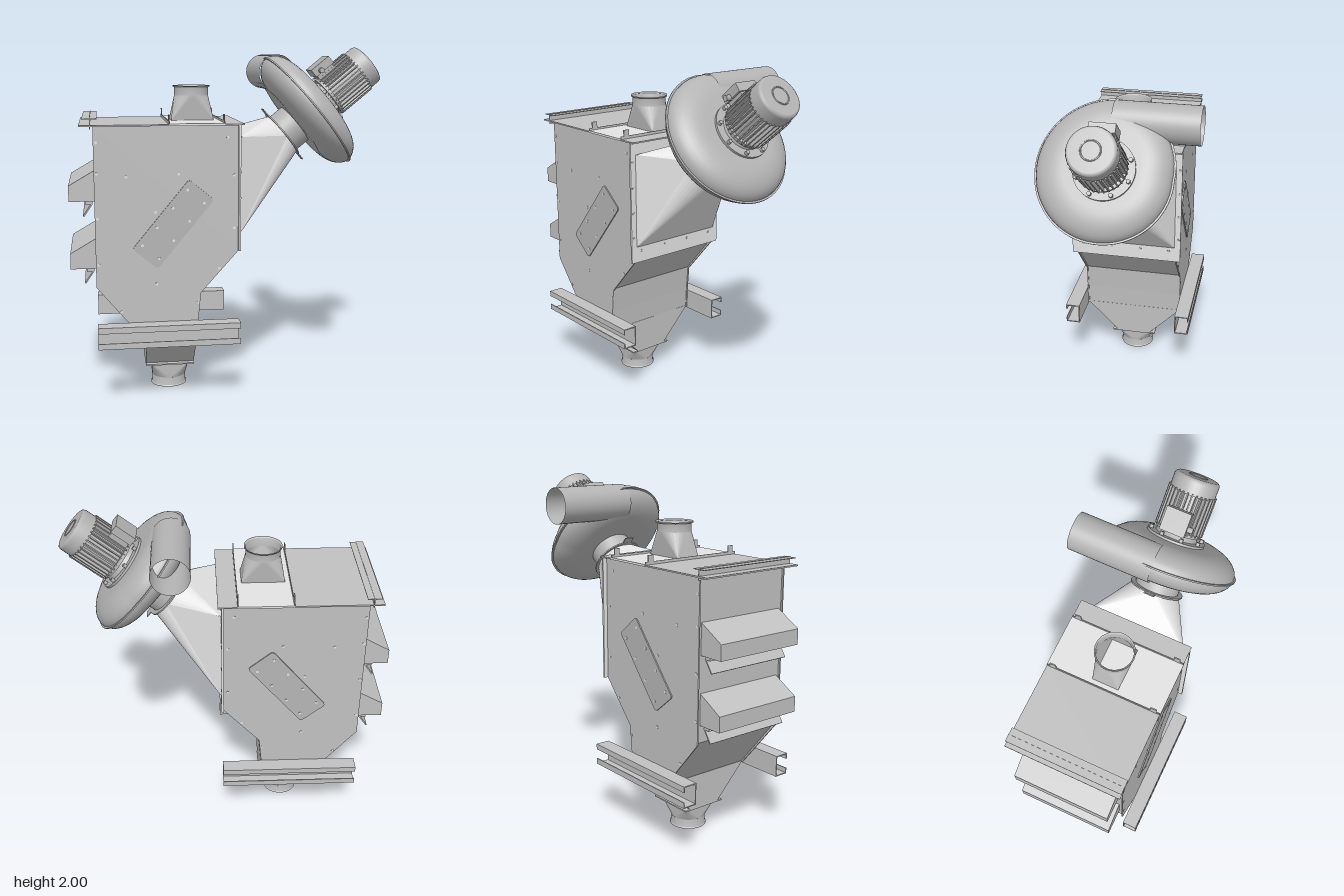
import * as THREE from 'three';

const mat = (name, color) => {
  const m = new THREE.MeshStandardMaterial({ color, side: THREE.DoubleSide });
  m.name = name;
  return m;
};

export function createModel() {
  const root = new THREE.Group();
  root.name = 'dustCollector';
  const steel = mat('sheetSteel', 0xc0c0c0);
  const light = mat('lightSteel', 0xe3e3e3);
  const cast = mat('castGrey', 0xb4b4b4);
  const CZ = 0.03; // housing centre line in z

  const add = (parent, name, geo, m, x = 0, y = 0, z = 0) => {
    const mesh = new THREE.Mesh(geo, m);
    mesh.name = name;
    mesh.position.set(x, y, z);
    parent.add(mesh);
    return mesh;
  };
  const box = (parent, name, m, w, h, d, x, y, z) => add(parent, name, new THREE.BoxGeometry(w, h, d), m, x, y, z);
  const prism = (pts, depth) => new THREE.ExtrudeGeometry(
    new THREE.Shape(pts.map(p => new THREE.Vector2(p[0], p[1]))), { depth, bevelEnabled: false }).translate(0, 0, -depth / 2);
  const lathe = pts => new THREE.LatheGeometry(pts.map(p => new THREE.Vector2(p[0], p[1])), 40);
  const V = (x, y, z) => new THREE.Vector3(x, y, z);

  // Sheet-metal transition from four corners to a circle in the plane of a and b
  const squareToRound = (corners, c, a, b, r) => {
    const n = 8, pts = [];
    const arc = i => {
      const t = i / n * Math.PI / 2;
      return c.clone().addScaledVector(a, r * Math.cos(t)).addScaledVector(b, r * Math.sin(t));
    };
    corners.forEach((p, k) => {
      for (let i = k * n; i < (k + 1) * n; i++) pts.push(p, arc(i + 1), arc(i));
      pts.push(p, corners[(k + 1) % 4], arc((k + 1) * n));
    });
    const g = new THREE.BufferGeometry().setFromPoints(pts);
    g.computeVertexNormals();
    return g;
  };

  // Housing: core with two slightly larger side sheets
  const outline = [[-0.775, 1.58], [-0.775, 0.68], [-0.605, 0.475], [-0.5, 0.35],
    [-0.212, 0.35], [-0.205, 0.475], [-0.19, 0.63], [0.025, 0.87], [0.025, 1.58]];
  const inner = outline.map(([x, y]) => [-0.36 + (x + 0.36) * 0.975, y > 1.5 ? y : y + 0.008]);
  add(root, 'housing', prism(inner, 0.6), steel, 0, 0, CZ);
  for (const s of [-1, 1]) add(root, 'sideSheet', prism(outline, 0.008), steel, 0, 0, CZ + s * 0.301);

  // Hopper trough, outlet flange and spigot
  const trough = prism([[-0.303, 0.36], [-0.105, 0.155], [0.105, 0.155], [0.303, 0.36]], 0.285);
  add(root, 'hopperTrough', trough.rotateY(Math.PI / 2), steel, -0.357, 0, CZ);
  box(root, 'outletFlange', steel, 0.285, 0.008, 0.28, -0.357, 0.153, CZ);
  const sq = (x, y, z, hx, hz, s) => [[1, 1], [-1, 1], [-1, -1], [1, -1]].map(([i, j]) => V(x + i * hx, y, z + s * j * hz));
  add(root, 'outletTransition', squareToRound(sq(-0.357, 0.15, CZ, 0.108, 0.108, 1),
    V(-0.357, 0.055, CZ), V(1, 0, 0), V(0, 0, 1), 0.1), steel);
  add(root, 'outletSpigot', lathe([[0.106, 0], [0.106, 0.008], [0.1, 0.008], [0.1, 0.055]]), steel, -0.357, 0, CZ);

  // Lipped support channels opening outward on both sides
  for (const s of [-1, 1]) {
    const rail = new THREE.Group();
    rail.name = 'supportChannel';
    box(rail, 'web', steel, 0.8, 0.125, 0.006, 0, 0, 0);
    for (const t of [-1, 1]) {
      box(rail, 'channelFlange', steel, 0.8, 0.006, 0.08, 0, t * 0.0595, s * 0.04);
      box(rail, 'channelLip', steel, 0.8, 0.034, 0.006, 0, t * 0.0455, s * 0.08);
    }
    rail.position.set(-0.373, 0.4075, CZ + s * 0.308);
    root.add(rail);
  }

  // Roof sheets, cover panel with ears, and edge channel
  box(root, 'roofSheet', steel, 0.49, 0.008, 0.655, -0.605, 1.582, CZ);
  box(root, 'coverPanel', light, 0.305, 0.012, 0.66, -0.2075, 1.584, CZ);
  box(root, 'roofStrip', steel, 0.11, 0.008, 0.655, 0, 1.582, CZ);
  for (const x of [-0.36, -0.055]) {
    box(root, 'coverRib', steel, 0.005, 0.02, 0.655, x, 1.592, CZ);
    for (const s of [-1, 1]) box(root, 'liftingEar', steel, 0.006, 0.055, 0.035, x, 1.61, CZ + s * 0.29);
  }
  box(root, 'edgeChannelTop', steel, 0.08, 0.004, 0.655, -0.792, 1.62, CZ);
  box(root, 'edgeChannelWeb', steel, 0.004, 0.06, 0.655, -0.79, 1.595, CZ);

  // Roof inlet
  add(root, 'inletTransition', squareToRound(sq(-0.208, 1.59, CZ, 0.123, 0.075, -1),
    V(-0.208, 1.73, CZ), V(1, 0, 0), V(0, 0, -1), 0.098), steel);
  add(root, 'inletPipe', lathe([[0.098, 1.73], [0.098, 1.778], [0.107, 1.778], [0.107, 1.786]]), steel, -0.208, 0, CZ);

  // Hoods with flaps on the end wall
  for (const y of [1.165, 0.785]) {
    const hood = prism([[-0.765, 0.175], [-0.915, 0.088], [-0.915, 0], [-0.765, 0]], 0.56);
    add(root, 'ventHood', hood, steel, 0, y, CZ);
    box(root, 'ventFlap', steel, 0.008, 0.085, 0.54, -0.812, y - 0.05, CZ).rotation.z = -0.6;
    box(root, 'flapHinge', steel, 0.04, 0.022, 0.54, -0.805, y - 0.008, CZ);
  }

  // Inspection doors on both sides, with screws
  const boltGeo = new THREE.CylinderGeometry(0.008, 0.008, 0.008, 10).rotateX(Math.PI / 2);
  const sideBolts = [[-0.76, 1.49], [-0.76, 1.32], [-0.76, 1.07], [-0.76, 0.81], [-0.6, 1.3], [-0.44, 1.1], [-0.44, 0.69],
    [-0.64, 0.535], [-0.31, 1.31], [-0.035, 1.51], [0, 1.3], [0, 1], [-0.085, 0.77], [-0.205, 0.575], [-0.53, 0.405], [-0.225, 0.405]];
  for (const s of [-1, 1]) {
    const door = new THREE.Group();
    door.name = 'inspectionDoor';
    const w = 0.25, h = 0.091, r = 0.018, d = new THREE.Shape();
    d.absarc(w - r, h - r, r, 0, Math.PI / 2);
    d.absarc(r - w, h - r, r, Math.PI / 2, Math.PI);
    d.absarc(r - w, r - h, r, Math.PI, Math.PI * 1.5);
    d.absarc(w - r, r - h, r, Math.PI * 1.5, Math.PI * 2);
    add(door, 'doorPlate', new THREE.ExtrudeGeometry(d, { depth: 0.012, bevelEnabled: false }).translate(0, 0, -0.006), cast);
    for (const x of [-0.2, -0.07, 0.07, 0.2]) for (const y of [-0.06, 0.06]) add(door, 'doorBolt', boltGeo, light, x, y, s * 0.004);
    door.position.set(-0.343, 1.03, CZ + s * 0.306);
    door.rotation.z = 0.878;
    root.add(door);
    for (const [x, y] of sideBolts) add(root, 'sideBolt', boltGeo, light, x, y, CZ + s * 0.303);
  }

  // End flange and duct to the fan
  box(root, 'ductFlange', light, 0.012, 0.71, 0.66, 0.029, 1.225, CZ);
  for (let i = 0; i < 4; i++) {
    add(root, 'flangeBolt', boltGeo, steel, 0.033, 0.94, CZ - 0.26 + i * 0.173).rotation.y = Math.PI / 2;
    for (const s of [-1, 1]) add(root, 'flangeBolt', boltGeo, steel, 0.033, 1.02 + i * 0.15, CZ + s * 0.315).rotation.y = Math.PI / 2;
  }
  const tilt = 0.684, fanAt = V(0.487, 1.623, CZ);
  const axis = V(Math.cos(tilt), Math.sin(tilt), 0), up = V(-Math.sin(tilt), Math.cos(tilt), 0);
  add(root, 'fanDuct', squareToRound([V(0.035, 1.51, -0.265), V(0.035, 1.51, 0.325), V(0.035, 0.965, 0.325), V(0.035, 0.965, -0.265)],
    fanAt.clone().addScaledVector(axis, -0.195), V(0, 0, -1), up, 0.132), light);

  // Fan: local z is the shaft, local y points up the tilted disc
  const fan = new THREE.Group();
  fan.name = 'fan';
  fan.position.copy(fanAt);
  fan.rotation.set(0, Math.PI / 2, tilt, 'ZYX');
  root.add(fan);
  const tube = (name, r0, r1, z0, z1) =>
    add(fan, name, new THREE.CylinderGeometry(r1, r0, z1 - z0, 40).rotateX(Math.PI / 2), cast, 0, 0, (z0 + z1) / 2);
  tube('inletPipeToFan', 0.125, 0.125, -0.205, -0.08);
  tube('clampFlange', 0.152, 0.152, -0.203, -0.195);
  box(fan, 'clampEars', cast, 0.06, 0.38, 0.006, 0, 0, -0.199);

  // Spiral casing swept around the shaft, widening again where it meets the outlet
  const N = 72, M = 16, h = 0.105, pos = [], idx = [], seam = [];
  for (let i = 0; i <= N; i++) {
    const f = i / N, t = Math.PI / 2 + f * Math.PI * 2;
    const R = f < 0.75 ? 0.405 - 0.085 * f : 0.341 + 0.064 * (f - 0.75) * 4;
    seam.push([(R + 0.01) * Math.cos(t), (R + 0.01) * Math.sin(t)]);
    for (let j = 0; j <= M + 2; j++) {
      const a = ((Math.min(Math.max(j - 1, 0), M) / M) - 0.5) * Math.PI;
      const r = j === 0 || j === M + 2 ? 0.001 : R - 0.16 + 0.16 * Math.cos(a);
      pos.push(r * Math.cos(t), r * Math.sin(t), h * Math.sin(a));
      if (i < N && j < M + 2) {
        const p = i * (M + 3) + j, q = p + M + 3;
        idx.push(p, q, p + 1, q, q + 1, p + 1);
      }
    }
  }
  const volute = new THREE.BufferGeometry();
  volute.setAttribute('position', new THREE.Float32BufferAttribute(pos, 3));
  volute.setIndex(idx);
  volute.computeVertexNormals();
  add(fan, 'fanCasing', volute, cast);
  add(fan, 'casingSeam', prism(seam, 0.008), cast);
  add(fan, 'fanOutlet', new THREE.CylinderGeometry(0.105, 0.105, 0.465, 40, 1, true).rotateZ(Math.PI / 2), cast, 0.2325, 0.3, 0);

  // Motor with mounting flange, cooling fins, cowl and terminal box
  tube('motorFlange', 0.165, 0.165, 0.085, 0.118);
  for (let i = 0; i < 8; i++) {
    const t = (i + 0.5) * Math.PI / 4;
    add(fan, 'flangeNut', new THREE.CylinderGeometry(0.012, 0.012, 0.02, 6).rotateX(Math.PI / 2), cast, 0.147 * Math.cos(t), 0.147 * Math.sin(t), 0.127);
  }
  tube('motorNeck', 0.12, 0.105, 0.118, 0.15);
  tube('motorBody', 0.112, 0.112, 0.14, 0.38);
  for (let i = 0; i < 32; i++) {
    const t = i / 32 * Math.PI * 2;
    box(fan, 'coolingFin', cast, 0.03, 0.007, 0.22, 0.121 * Math.cos(t), 0.121 * Math.sin(t), 0.265).rotation.z = t;
  }
  tube('endShield', 0.13, 0.13, 0.145, 0.165);
  add(fan, 'fanCowl', lathe([[0.127, 0.365], [0.127, 0.435], [0.122, 0.449], [0.11, 0.455], [0, 0.455]]).rotateX(Math.PI / 2), cast);
  add(fan, 'cowlRing', new THREE.TorusGeometry(0.05, 0.004, 8, 32), cast, 0, 0, 0.455);
  box(fan, 'terminalBase', cast, 0.11, 0.05, 0.11, 0, 0.125, 0.22);
  box(fan, 'terminalBox', cast, 0.14, 0.05, 0.13, 0, 0.167, 0.22);
  add(fan, 'cableGland', new THREE.CylinderGeometry(0.016, 0.016, 0.04, 12).rotateZ(Math.PI / 2), cast, -0.08, 0.155, 0.2);
  return root;
}
